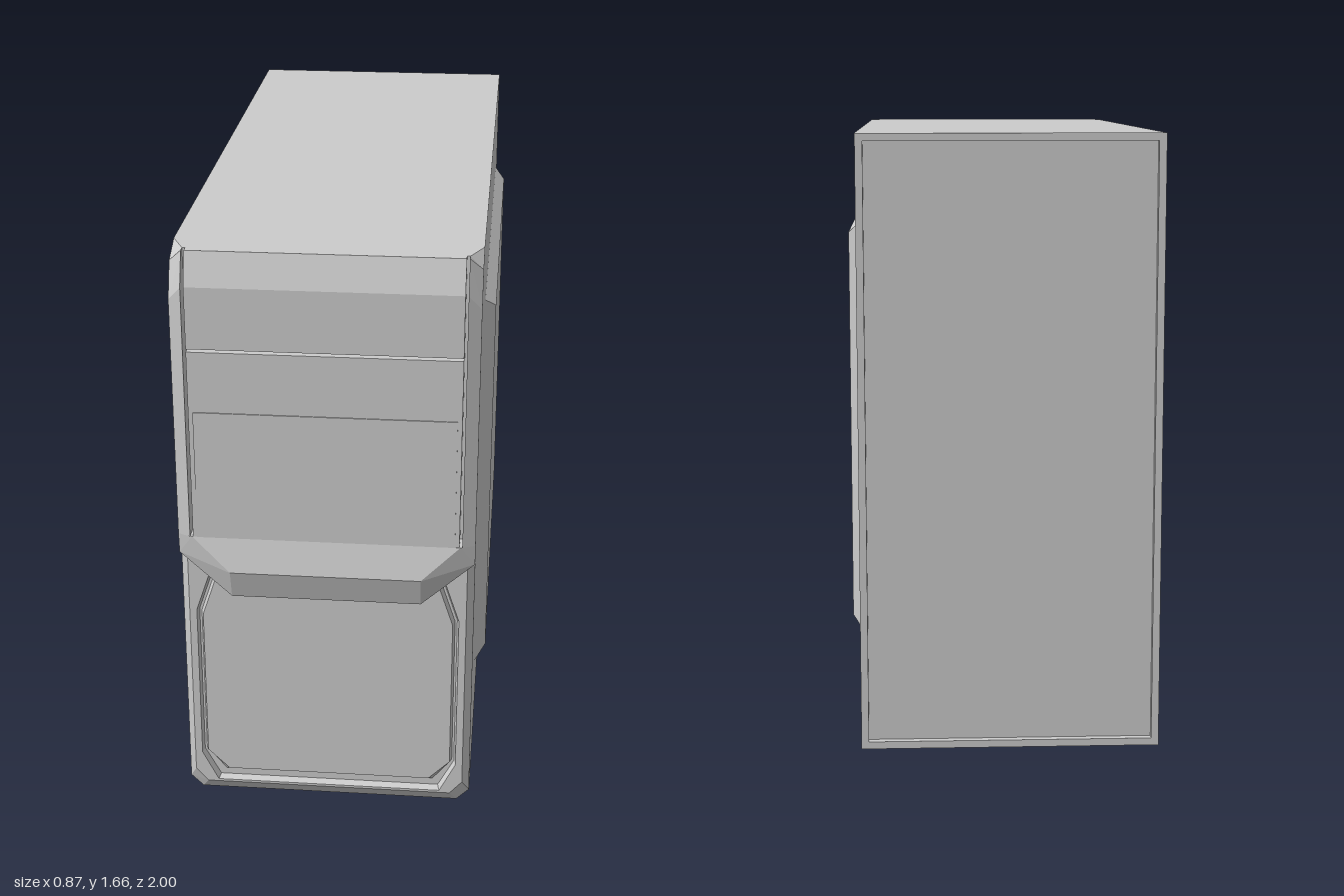
import * as THREE from 'three';
import { ConvexGeometry } from 'three/addons/geometries/ConvexGeometry.js';

const material = new THREE.MeshStandardMaterial({ color: 0xcccccc, flatShading: true });

function add(parent, name, geometry) {
  const mesh = new THREE.Mesh(geometry, material);
  mesh.name = name;
  parent.add(mesh);
  return mesh;
}

// Rectangle with cut corners at depth z, counter-clockwise seen from +z
function ring(z, hx, y0, y1, bx = 0, by = 0, tx = bx, ty = by) {
  return [
    [-hx + bx, y0], [hx - bx, y0], [hx, y0 + by], [hx, y1 - ty],
    [hx - tx, y1], [-hx + tx, y1], [-hx, y1 - ty], [-hx, y0 + by],
  ].map(([x, y]) => [x, y, z]);
}

// Skins a list of rings and caps both ends
function loft(rings) {
  const out = [];
  const tri = (a, b, c) => out.push(...a, ...b, ...c);
  const n = rings[0].length;
  for (let r = 0; r < rings.length - 1; r++) {
    const a = rings[r], b = rings[r + 1];
    for (let i = 0; i < n; i++) {
      const j = (i + 1) % n;
      tri(a[i], a[j], b[j]);
      tri(a[i], b[j], b[i]);
    }
  }
  const first = rings[0], last = rings[rings.length - 1];
  for (let i = 1; i < n - 1; i++) {
    tri(first[0], first[i + 1], first[i]);
    tri(last[0], last[i], last[i + 1]);
  }
  const g = new THREE.BufferGeometry();
  g.setAttribute('position', new THREE.Float32BufferAttribute(out, 3));
  g.computeVertexNormals();
  return g;
}

const hull = (pts) => new ConvexGeometry(pts.map((p) => new THREE.Vector3(...p)));

export function createModel() {
  const model = new THREE.Group();
  model.name = 'computerCase';

  // Case body with a recessed back and clipped front corners
  add(model, 'caseBody', loft([
    ring(-0.98, 0.385, 0.02, 1.64),
    ring(-1, 0.385, 0.02, 1.64),
    ring(-1, 0.405, 0, 1.66),
    ring(0.85, 0.405, 0, 1.66),
    ring(0.925, 0.405, 0, 1.66, 0.035, 0.035),
  ]));

  // Raised panels on both sides
  for (const s of [1, -1]) {
    const panel = add(model, s > 0 ? 'leftSidePanel' : 'rightSidePanel', loft([
      ring(0.4, 0.645, 0.25, 1.41),
      ring(0.405, 0.645, 0.25, 1.41),
      ring(0.435, 0.603, 0.285, 1.38),
    ]));
    panel.rotation.y = s * Math.PI / 2;
    panel.position.z = -0.075;
  }

  // Rails either side of the drive bays
  for (const s of [1, -1]) {
    add(model, s > 0 ? 'leftRail' : 'rightRail', hull([
      [0.37, 1.66, 0.925], [0.37, 1.66, 0.945], [0.405, 1.625, 0.925],
      [0.405, 1.53, 0.96], [0.37, 1.57, 0.977], [0.37, 0.85, 0.977],
      [0.405, 0.85, 0.96], [0.405, 0.85, 0.925], [0.37, 0.85, 0.925],
    ].map(([x, y, z]) => [s * x, y, z])));
  }

  // Drive bay front: side profile with a sloped top and a slot
  const profile = new THREE.Shape([
    [0.92, 0.84], [0.975, 0.84], [0.975, 1.391], [0.955, 1.391], [0.955, 1.399],
    [0.975, 1.399], [0.975, 1.57], [0.945, 1.66], [0.92, 1.66],
  ].map(([z, y]) => new THREE.Vector2(z, y)));
  const bayFront = new THREE.ExtrudeGeometry(profile, { depth: 0.724, bevelEnabled: false });
  bayFront.translate(0, 0, -0.362).rotateY(-Math.PI / 2);
  add(model, 'driveBayFront', bayFront);

  // Thin cover over the lower bays
  const cover = add(model, 'bayCover', new THREE.BoxGeometry(0.7, 0.37, 0.006));
  cover.position.set(0, 1.035, 0.975);

  // Protruding lip between the upper and lower front
  const lip = [];
  for (const s of [1, -1]) {
    for (const [x, y, z] of [
      [0.405, 0.85, 0.925], [0.405, 0.85, 0.96], [0.365, 0.85, 0.976],
      [0.26, 0.755, 1], [0.405, 0.775, 0.925], [0.405, 0.79, 0.955],
      [0.26, 0.67, 0.975], [0.26, 0.69, 0.94],
    ]) lip.push([s * x, y, z]);
  }
  add(model, 'frontLip', hull(lip));

  // Lower front: bevelled frame, groove and inner panel
  add(model, 'lowerFront', loft([
    ring(0.925, 0.405, 0, 0.775, 0.035, 0.035, 0, 0),
    ring(0.948, 0.385, 0.035, 0.775, 0.035, 0.04, 0, 0),
    ring(0.948, 0.365, 0.042, 0.725, 0.045, 0.09, 0.04, 0.12),
    ring(0.93, 0.36, 0.05, 0.72, 0.045, 0.085, 0.04, 0.12),
    ring(0.93, 0.354, 0.07, 0.715, 0.055, 0.07, 0.04, 0.12),
    ring(0.945, 0.348, 0.08, 0.71, 0.06, 0.06, 0.04, 0.12),
  ]));

  return model;
}
